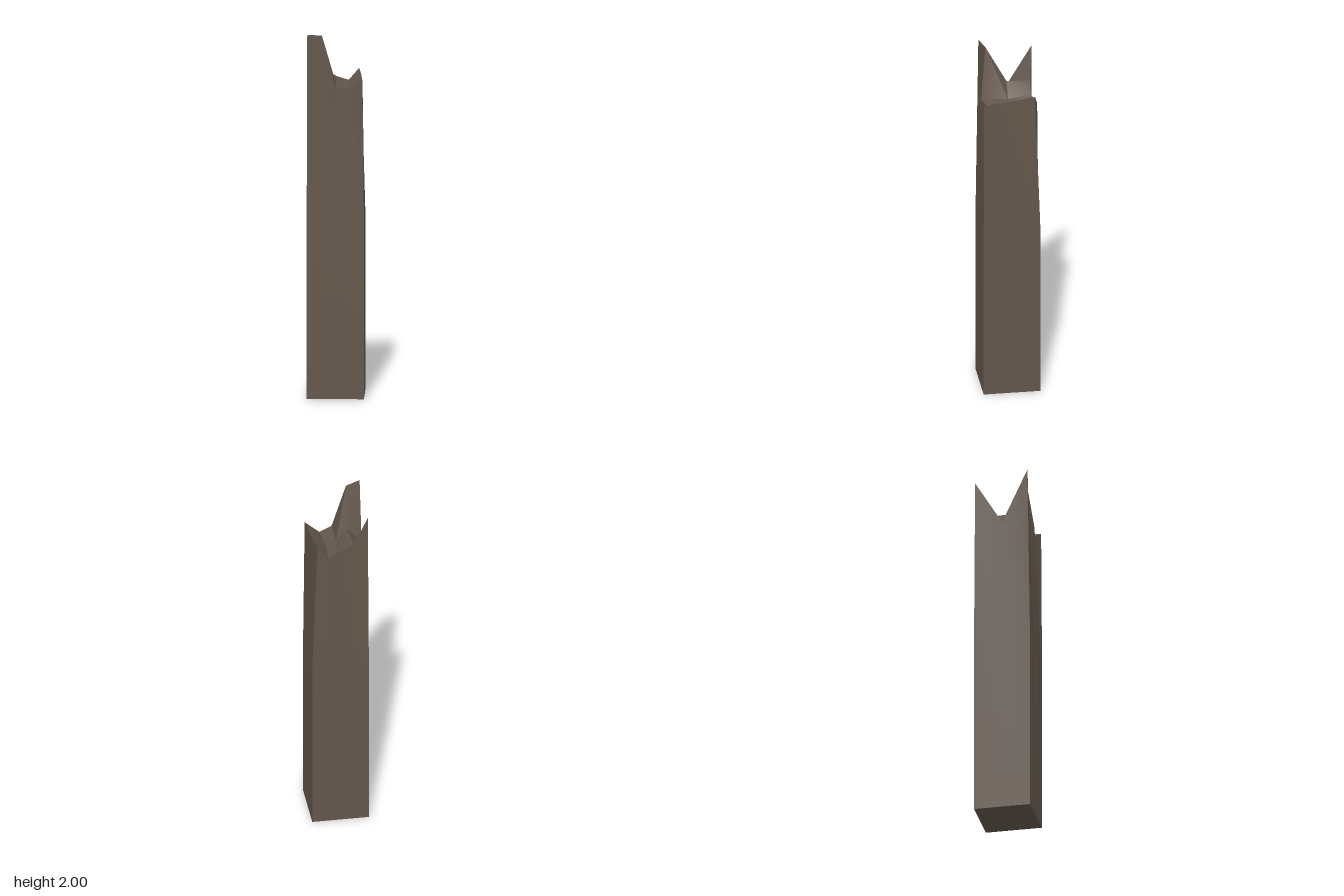
import * as THREE from 'three';
import { toCreasedNormals } from 'three/addons/utils/BufferGeometryUtils.js';

const H = 0.155;   // half width of the square post
const BEND = 0.98; // height where the sides start to taper

// Broken top: rows run back to front, points run from -x to +x, as [x, y, z]
const TOP = [
  [[-0.15, 1.945, -0.15], [-0.075, 1.77, -0.133], [0, 1.725, -0.125], [0.065, 1.7, -0.15], [0.122, 1.77, -0.13]],
  [[-0.14, 1.7, 0], [-0.058, 1.785, 0], [0, 1.705, 0], [0.057, 1.695, 0], [0.137, 1.757, 0]],
  [[-0.152, 2, 0.14], [-0.073, 1.99, 0.113], [0, 1.715, 0.147], [0.072, 1.7, 0.12], [0.147, 1.75, 0.152]],
];

// Grid cells around the rim, counter-clockwise seen from above
const RIM = [
  [0, 0], [1, 0], [2, 0], [2, 1], [2, 2], [2, 3], [2, 4], [1, 4], [0, 4], [0, 3], [0, 2], [0, 1],
];

function facesToGeometry(quads) {
  const pos = [];
  for (const [a, b, c, d] of quads) pos.push(...a, ...b, ...d, ...b, ...c, ...d);
  const geo = new THREE.BufferGeometry();
  geo.setAttribute('position', new THREE.Float32BufferAttribute(pos, 3));
  return toCreasedNormals(geo, Math.PI / 6);
}

export function createModel() {
  const group = new THREE.Group();
  group.name = 'brokenPost';
  const wood = new THREE.MeshStandardMaterial({ color: 0x62564b });
  wood.name = 'weathered wood';
  const add = (name, quads) => {
    const mesh = new THREE.Mesh(facesToGeometry(quads), wood);
    mesh.name = name;
    group.add(mesh);
  };

  // Splintered top surface
  const top = [];
  for (let j = 0; j < 2; j++) {
    for (let i = 0; i < 4; i++) top.push([TOP[j][i], TOP[j + 1][i], TOP[j + 1][i + 1], TOP[j][i + 1]]);
  }
  add('splinteredTop', top);

  // Four sides: straight lower half, then a slight taper up to the jagged rim
  const square = (y) => RIM.map(([j, i]) => [(i / 2 - 1) * H, y, (j - 1) * H]);
  const rings = [square(0), square(BEND), RIM.map(([j, i]) => TOP[j][i])];
  const sides = [];
  for (let r = 0; r < 2; r++) {
    RIM.forEach((_, k) => {
      const n = (k + 1) % RIM.length;
      sides.push([rings[r][k], rings[r][n], rings[r + 1][n], rings[r + 1][k]]);
    });
  }
  add('postSides', sides);

  // Flat underside
  add('postBase', [[[-H, 0, -H], [H, 0, -H], [H, 0, H], [-H, 0, H]]]);

  return group;
}
